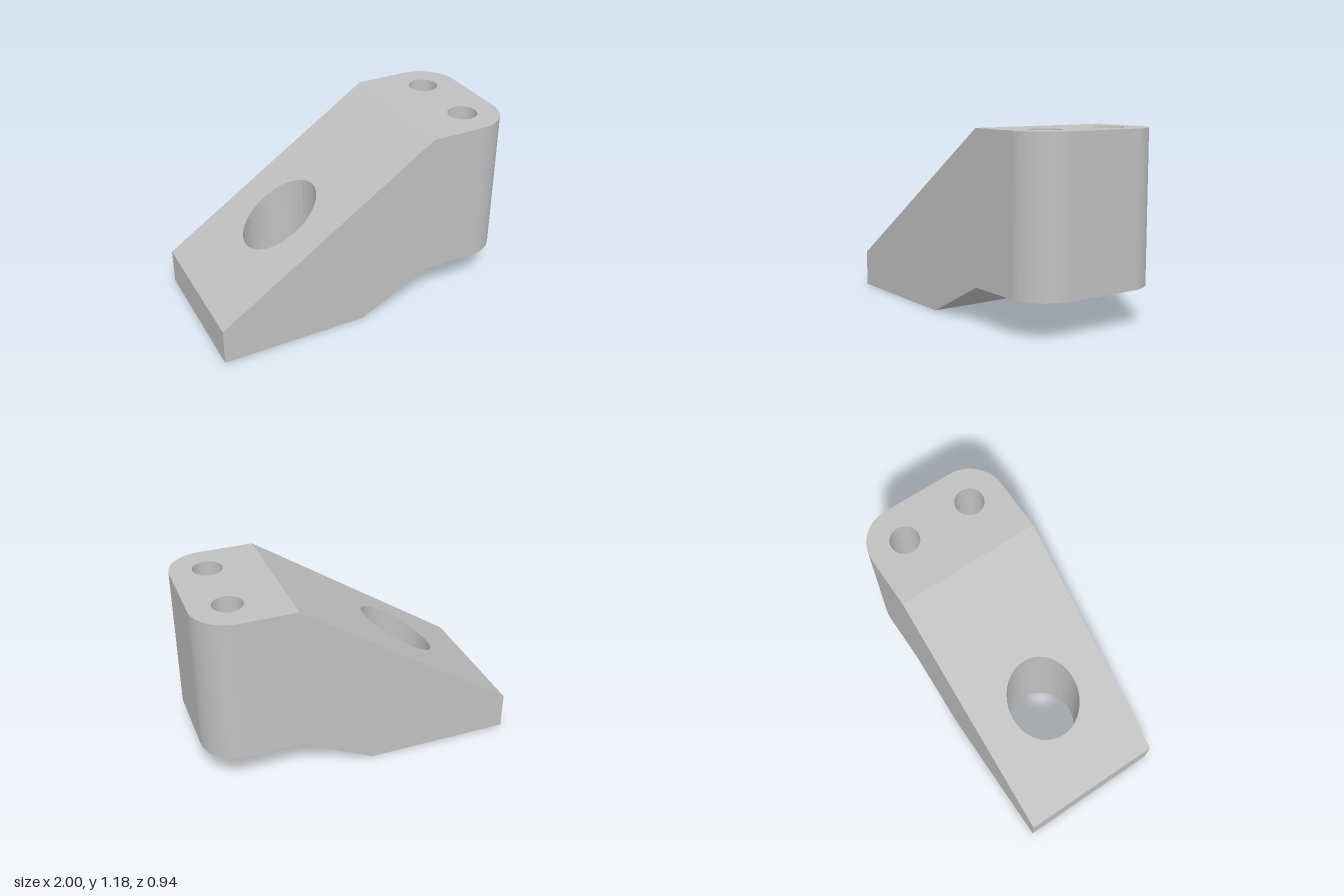
import * as THREE from 'three';
import { mergeGeometries } from 'three/addons/utils/BufferGeometryUtils.js';

const U = 2 / 8.5;                       // module length: the block is 8.5 units long
const X0 = -1, X1 = 4 * U - 1, X2 = 6 * U - 1, X3 = 1;
const HALF = 2 * U;                      // half width

// Side profile: height of the upper and lower surface along x
const topY = (x) => Math.min(5 * U, U + (x - X0) * (4 * U) / (X2 - X0));
const bottomY = (x) => THREE.MathUtils.clamp((x - X1) * U / (X2 - X1), 0, U);

// Points along an arc in plan
function arc(cx, cy, r, from, to, n) {
  return Array.from({ length: n + 1 }, (_, i) => {
    const a = from + (to - from) * i / n;
    return new THREE.Vector2(cx + r * Math.cos(a), cy + r * Math.sin(a));
  });
}

const circle = (cx, cy, r, n) =>
  new THREE.Path(arc(cx, cy, r, 0, Math.PI * 2, n).slice(0, -1));

const rectangle = (a, b) => new THREE.Shape([
  new THREE.Vector2(a, -HALF), new THREE.Vector2(b, -HALF),
  new THREE.Vector2(b, HALF), new THREE.Vector2(a, HALF),
]);

// Extrude a plan section upward, bend it to the side profile and
// leave out the walls where it joins its neighbours
function section(shape) {
  const geo = new THREE.ExtrudeGeometry(shape, { depth: 1, bevelEnabled: false });
  geo.rotateX(-Math.PI / 2);
  const p = geo.attributes.position;
  const kept = [];
  for (let i = 0; i < p.count; i += 3) {
    const onCut = (cut) => [0, 1, 2].every((k) => Math.abs(p.getX(i + k) - cut) < 1e-4);
    if (onCut(X1) || onCut(X2)) continue;
    for (let k = i; k < i + 3; k++) {
      const x = p.getX(k);
      kept.push(x, THREE.MathUtils.lerp(bottomY(x), topY(x), p.getY(k)), p.getZ(k));
    }
  }
  const out = new THREE.BufferGeometry();
  out.setAttribute('position', new THREE.Float32BufferAttribute(kept, 3));
  return out;
}

export function createModel() {
  const grey = new THREE.MeshStandardMaterial({ color: 0xc0c0c0, flatShading: true });
  grey.name = 'grey';

  // Sloping foot with the large bore
  const foot = rectangle(X0, X1);
  foot.holes.push(circle(2.5 * U - 1, 0, U, 40));

  // Middle section, sloping above and below
  const middle = rectangle(X1, X2);

  // Raised head with rounded corners and two small bores
  const cx = 1 - U;
  const head = new THREE.Shape([
    new THREE.Vector2(X2, -HALF),
    ...arc(cx, -U, U, -Math.PI / 2, 0, 12),
    ...arc(cx, U, U, 0, Math.PI / 2, 12),
    new THREE.Vector2(X2, HALF),
  ]);
  for (const side of [-1, 1]) head.holes.push(circle(cx, side * U, 0.4 * U, 32));

  const geometry = mergeGeometries([foot, middle, head].map(section));
  geometry.computeVertexNormals();

  const block = new THREE.Mesh(geometry, grey);
  block.name = 'bracketBlock';

  const model = new THREE.Group();
  model.name = 'bracket';
  model.add(block);
  return model;
}
